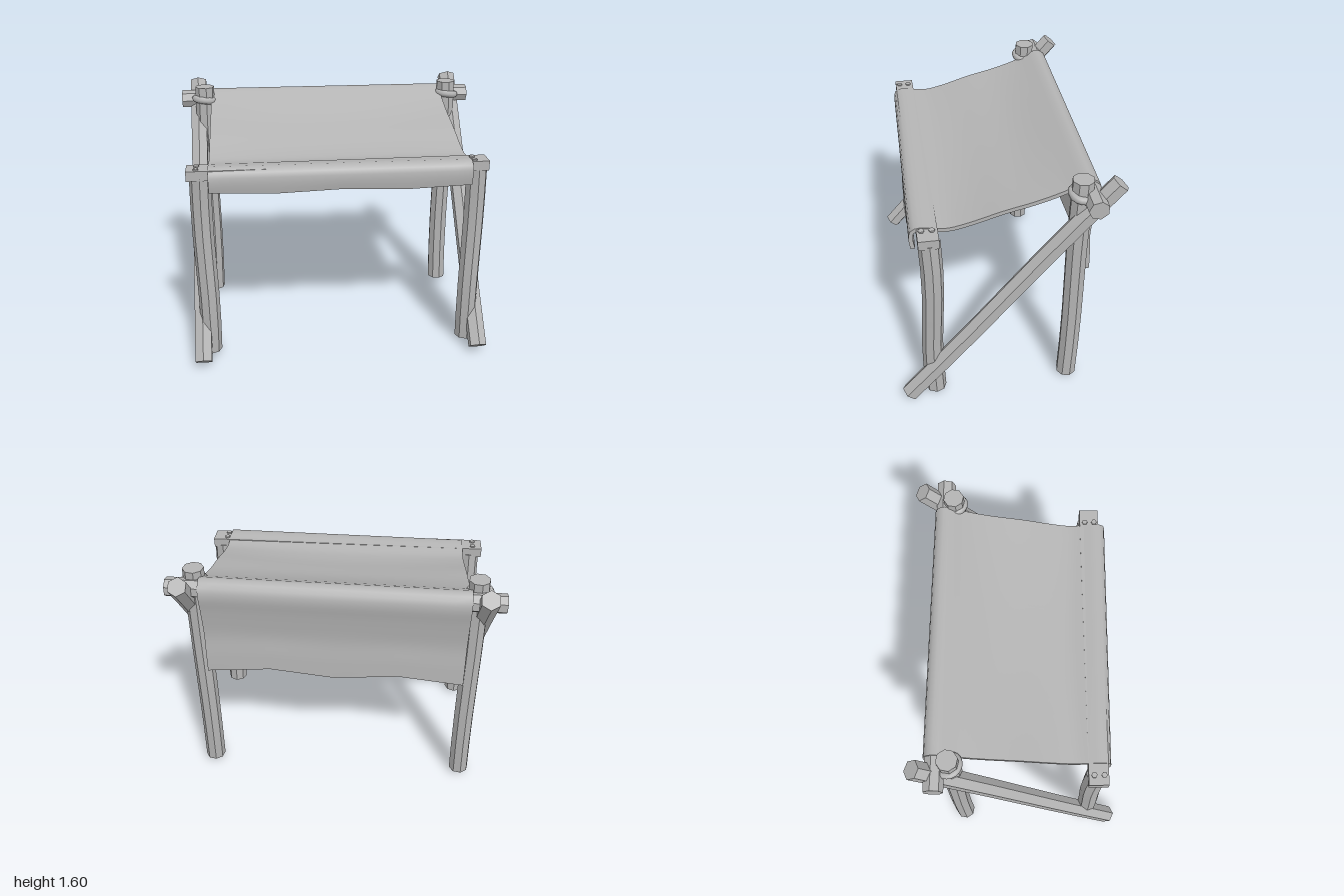
import * as THREE from 'three';
import { toCreasedNormals } from 'three/addons/utils/BufferGeometryUtils.js';

const grey = new THREE.MeshStandardMaterial({ color: 0xb4b4b4 });
grey.name = 'plain grey';

function add(group, name, geometry) {
  const mesh = new THREE.Mesh(geometry, grey);
  mesh.name = name;
  group.add(mesh);
  return mesh;
}

// Faceted log from a to b, bowed slightly along z and x
function log(group, name, a, b, radius, sides, bowZ = 0, bowX = 0, spin = 0) {
  const from = new THREE.Vector3(...a), to = new THREE.Vector3(...b);
  const dir = to.clone().sub(from), length = dir.length();
  const geo = new THREE.CylinderGeometry(radius, radius, length, sides, 6);
  geo.rotateY(spin);
  const p = geo.attributes.position;
  for (let i = 0; i < p.count; i++) {
    const t = p.getY(i) / length + 0.5;
    const wave = Math.sin(t * Math.PI * 2);
    p.setX(i, p.getX(i) - bowX * wave);
    p.setZ(i, p.getZ(i) - bowZ * wave);
  }
  const mesh = add(group, name, toCreasedNormals(geo, 0.4));
  mesh.position.copy(from).add(to).multiplyScalar(0.5);
  mesh.quaternion.setFromUnitVectors(new THREE.Vector3(0, 1, 0), dir.normalize());
  return mesh;
}

// Thick cloth hung over both bars: a side profile (z, y) swept along x
function clothGeometry() {
  const profile = [
    [-0.535, 0.85], [-0.53, 0.97], [-0.52, 1.12], [-0.54, 1.3], [-0.56, 1.43],
    [-0.545, 1.485], [-0.495, 1.515], [-0.43, 1.49], [-0.36, 1.455], [-0.2, 1.4],
    [0, 1.35], [0.2, 1.29], [0.32, 1.267], [0.42, 1.28], [0.49, 1.287],
    [0.53, 1.265], [0.54, 1.2], [0.53, 1.14],
  ].map(([z, y]) => new THREE.Vector3(0, y, z));
  const curve = new THREE.CatmullRomCurve3(profile);
  const n = 61, columns = 16, half = 0.8, thickness = 0.025;

  const outer = [], inner = [];
  for (let j = 0; j < n; j++) {
    const p = curve.getPointAt(j / (n - 1)), t = curve.getTangentAt(j / (n - 1));
    outer.push([p.z, p.y]);
    inner.push([p.z + t.y * thickness, p.y - t.z * thickness]);
  }
  const loop = outer.concat(inner.reverse());
  const size = loop.length;

  const positions = [], index = [];
  for (let i = 0; i <= columns; i++) {
    const x = -half + (2 * half * i) / columns;
    const ripple = 1 - Math.abs(Math.abs(x) / 0.4 - 1); // peaks at x = ±0.4
    for (const [z, y] of loop) {
      let dy = 0;
      if (z < -0.4) dy = 0.04 * ripple * THREE.MathUtils.clamp((1.2 - y) / 0.35, 0, 1);
      else if (z > 0.5) dy = -0.015 * ripple * THREE.MathUtils.clamp((1.24 - y) / 0.1, 0, 1);
      else if (Math.abs(z) < 0.36) {
        dy = -0.03 * (1 - (x / half) ** 2) * Math.cos((z / 0.36) * Math.PI / 2);
      }
      positions.push(x, y + dy, z + 0.015 * x);
    }
  }
  for (let i = 0; i < columns; i++) {
    for (let j = 0; j < size; j++) {
      const k = (j + 1) % size;
      const a = i * size + j, b = i * size + k, c = b + size, d = a + size;
      index.push(a, b, d, b, c, d);
    }
  }
  // Side edges
  const last = columns * size;
  for (let j = 0; j < n - 1; j++) {
    const a = j, b = j + 1, c = size - 2 - j, d = size - 1 - j;
    index.push(a, c, b, a, d, c);
    index.push(last + a, last + b, last + c, last + a, last + c, last + d);
  }
  const geo = new THREE.BufferGeometry();
  geo.setAttribute('position', new THREE.Float32BufferAttribute(positions, 3));
  geo.setIndex(index);
  return toCreasedNormals(geo, 0.8);
}

export function createModel() {
  const group = new THREE.Group();
  group.name = 'awning';

  for (const s of [-1, 1]) {
    const side = s > 0 ? 'left' : 'right';

    // Uprights and slanting braces
    log(group, side + 'FrontPost', [s * 0.85, 0.01, 0.445], [s * 0.85, 1.23, 0.442], 0.066, 8, -0.01, 0.006 * s);
    log(group, side + 'RearPost', [s * 0.85, 0.01, -0.418], [s * 0.84, 1.55, -0.425], 0.064, 8, 0.006, 0.004 * s, 0.2);
    log(group, side + 'Brace', [s * 0.895, 0.02, 0.615], [s * 0.89, 1.54, -0.622], 0.06, 6, 0.006);

    // Rope lashing at the rear joint
    const rope = add(group, side + 'Lashing', new THREE.TorusGeometry(0.062, 0.024, 8, 20));
    rope.rotation.set(Math.PI / 2 - 0.12, -0.15, 0);
    rope.position.set(s * 0.845, 1.46, -0.425);

    // Nail heads on the front beam
    for (const z of [0.42, 0.48]) {
      const nail = add(group, side + 'Nail', new THREE.CylinderGeometry(0.018, 0.018, 0.012, 6));
      nail.position.set(s > 0 ? 0.82 : -0.87, 1.28, z);
    }
  }

  // Rear crossbar and flat front beam
  log(group, 'rearCrossbar', [-1, 1.445, -0.508], [1, 1.445, -0.48], 0.06, 7);
  const beam = add(group, 'frontBeam', new THREE.BoxGeometry(1.84, 0.062, 0.12));
  beam.position.set(-0.01, 1.246, 0.447);

  add(group, 'cloth', clothGeometry());
  return group;
}
